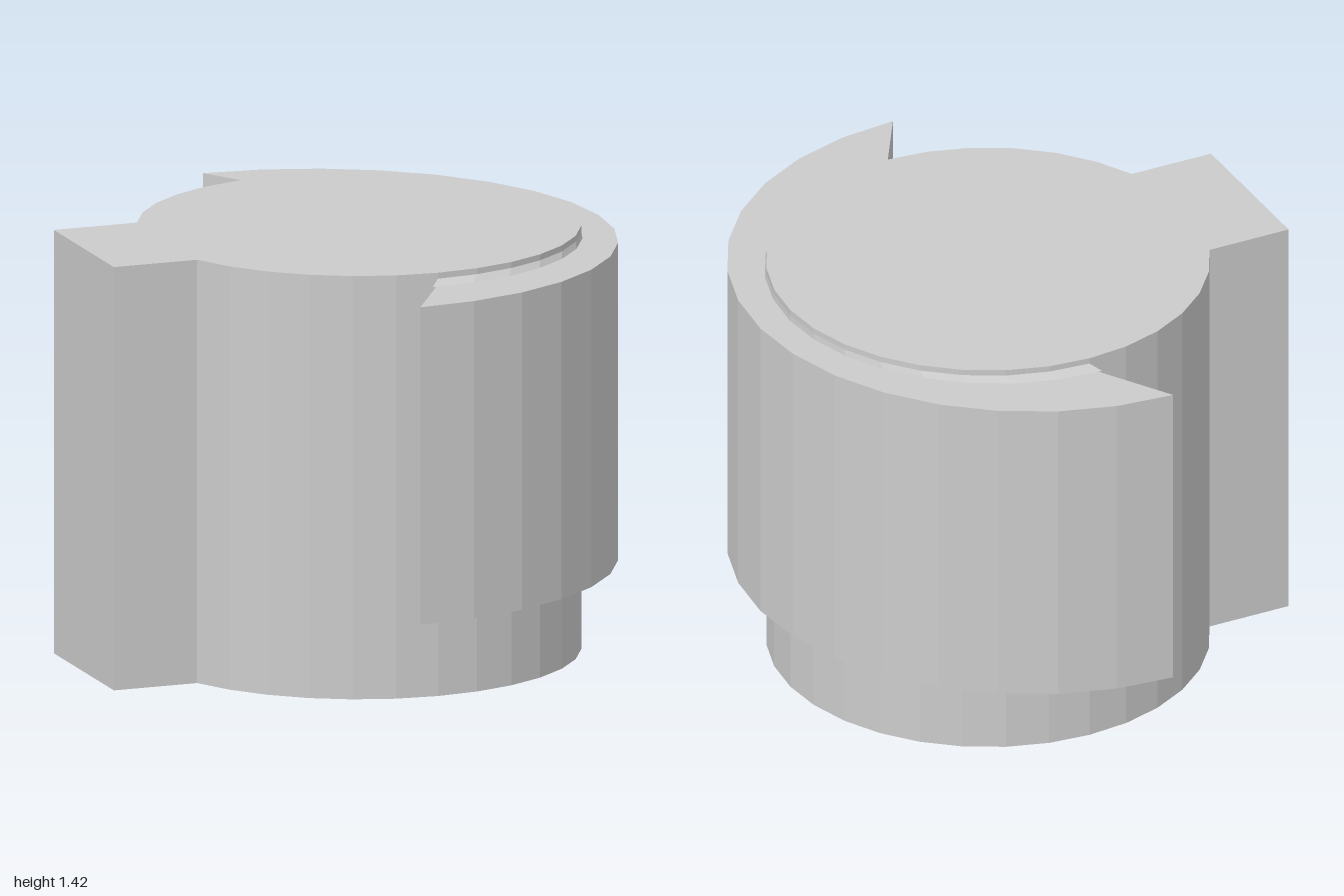
import * as THREE from 'three';

const STEP = Math.PI / 16; // 32 facets to a full circle
const HEIGHT = 1.42, LOW = 0.315, HIGH = 1.38;

// Points on an arc centred on the x axis, from facet a to facet b
function arc(cx, r, a, b) {
  const points = [];
  const dir = Math.sign(b - a);
  for (let i = 0; i <= Math.abs(b - a); i++) {
    const t = (a + dir * i) * STEP;
    points.push(new THREE.Vector2(cx + r * Math.cos(t), r * Math.sin(t)));
  }
  return points;
}

// Plan outline raised from y0 to y1
function prism(points, y0, y1) {
  const geometry = new THREE.ExtrudeGeometry(new THREE.Shape(points), { depth: y1 - y0, bevelEnabled: false });
  return geometry.rotateX(-Math.PI / 2).translate(0, y0, 0);
}

// Sloped strip joining two arcs at different heights
function strip(inner, yInner, outer, yOuter) {
  const positions = [];
  const add = (p, y) => positions.push(p.x, y, -p.y);
  for (let i = 0; i < inner.length - 1; i++) {
    add(inner[i], yInner); add(outer[i], yOuter); add(outer[i + 1], yOuter);
    add(inner[i], yInner); add(outer[i + 1], yOuter); add(inner[i + 1], yInner);
  }
  const geometry = new THREE.BufferGeometry();
  geometry.setAttribute('position', new THREE.Float32BufferAttribute(positions, 3));
  geometry.computeVertexNormals();
  return geometry;
}

export function createModel() {
  const group = new THREE.Group();
  const material = new THREE.MeshStandardMaterial({ color: 0xcccccc, flatShading: true });
  const thin = material.clone();
  thin.side = THREE.DoubleSide;
  const add = (name, geometry, mat = material) => {
    const mesh = new THREE.Mesh(geometry, mat);
    mesh.name = name;
    group.add(mesh);
  };

  // Round core with a rectangular key on its right side
  const core = arc(0.06, 0.725, -14, 14);
  core.push(new THREE.Vector2(-0.9, 0.277), new THREE.Vector2(-0.9, -0.277));
  add('keyedCore', prism(core, 0, HEIGHT));

  // Crescent collar wrapped round the left half of the core
  const inner = arc(0.06, 0.725, -8, 8);
  const outer = arc(-0.105, 1, -8, 8);
  add('crescentCollar', prism([...outer, ...inner.slice().reverse()], LOW, HIGH));

  // Small fillets where the collar meets the core
  const foot = arc(0.03, 0.757, -8, 8);
  add('upperFillet', strip(inner, HIGH + 0.02, foot, HIGH + 0.001), thin);
  add('lowerFillet', strip(foot, LOW - 0.001, inner, LOW - 0.02), thin);

  return group;
}
